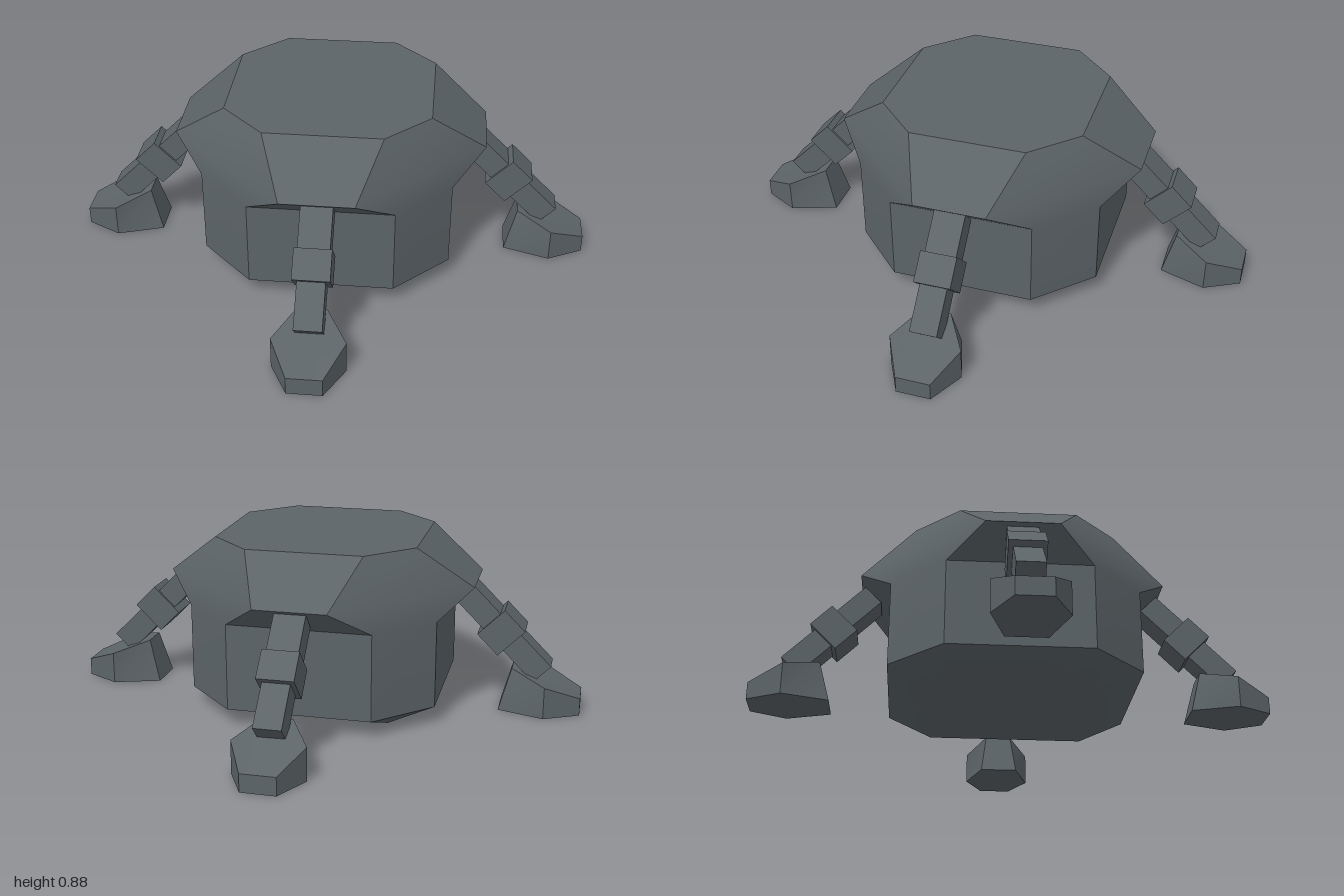
import * as THREE from 'three';
import { toCreasedNormals } from 'three/addons/utils/BufferGeometryUtils.js';

// Closed loft through rings of [x, y, z], bottom ring first, counter-clockwise from above
function loft(rings, crease) {
  const n = rings[0].length, last = (rings.length - 1) * n, index = [];
  for (let i = 0; i < rings.length - 1; i++) {
    for (let j = 0; j < n; j++) {
      const a = i * n + j, b = i * n + (j + 1) % n;
      index.push(a, b, b + n, a, b + n, a + n);
    }
  }
  for (let j = 1; j < n - 1; j++) {
    index.push(0, j + 1, j, last, last + j, last + j + 1);
  }
  const geometry = new THREE.BufferGeometry();
  geometry.setAttribute('position', new THREE.Float32BufferAttribute(rings.flat(2), 3));
  geometry.setIndex(index);
  return toCreasedNormals(geometry, crease);
}

// Octagon with its flat sides at distance b and corners at offset c
const octagon = (y, b, c) =>
  [[-c, b], [c, b], [b, c], [b, -c], [c, -b], [-c, -b], [-b, -c], [-b, c]].map(([x, z]) => [x, y, z]);

export function createModel() {
  const model = new THREE.Group();
  const slate = new THREE.MeshStandardMaterial({ color: 0x5c6468 });
  slate.name = 'slate grey';

  function add(parent, name, geometry) {
    const mesh = new THREE.Mesh(geometry, slate);
    mesh.name = name;
    parent.add(mesh);
    return mesh;
  }

  // Body: the corners flare out over the leg sockets, the belly tapers to a diamond
  add(model, 'body', loft([
    octagon(0, 0.57, 0),
    octagon(0.09, 0.7, 0.19),
    octagon(0.53, 0.7, 0.19),
    octagon(0.665, 0.685, 0.43),
    octagon(0.88, 0.57, 0.155),
  ], 0.5));

  // Foot: six-sided hoof, [distance out, half width, height] from heel to toe
  const hoofRing = (half) => [
    ...half.map(([x, z, y]) => [x, y, z]),
    ...half.slice().reverse().map(([x, z, y]) => [x, y, -z]),
  ];
  const footGeometry = loft([
    hoofRing([[0.92, 0.1, 0], [1.153, 0.177, 0], [1.33, 0.085, 0]]),
    hoofRing([[0.98, 0.07, 0.22], [1.153, 0.177, 0.165], [1.33, 0.085, 0.09]]),
  ], 0.45);

  // Leg segments lie on one 45 degree line: [name, distance out, height, length, thickness, width]
  const segments = [
    ['upperLeg', 0.815, 0.52, 0.25, 0.12, 0.155],
    ['knee', 0.92, 0.41, 0.15, 0.19, 0.18],
    ['lowerLeg', 1.03, 0.3, 0.29, 0.125, 0.135],
  ];

  ['frontLeftLeg', 'backLeftLeg', 'backRightLeg', 'frontRightLeg'].forEach((name, k) => {
    const leg = new THREE.Group();
    leg.name = name;
    for (const [part, x, y, length, thickness, width] of segments) {
      const mesh = add(leg, part, new THREE.BoxGeometry(length, thickness, width));
      mesh.position.set(x, y, 0);
      mesh.rotation.z = -Math.PI / 4;
    }
    add(leg, 'foot', footGeometry);
    leg.rotation.y = -Math.PI / 4 + k * Math.PI / 2;
    model.add(leg);
  });

  return model;
}
